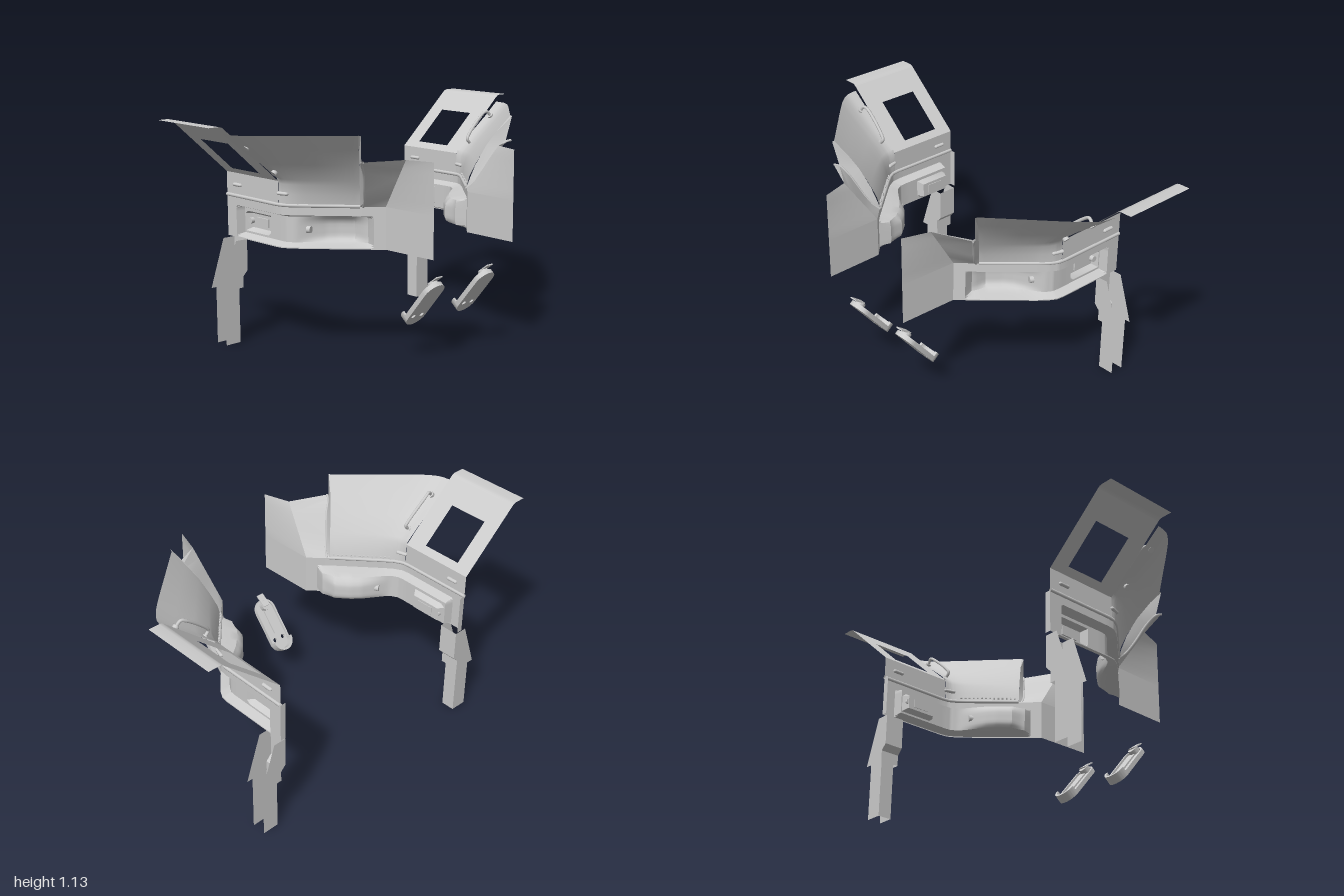
import * as THREE from 'three';
import { toCreasedNormals } from 'three/addons/utils/BufferGeometryUtils.js';

const grey = new THREE.MeshStandardMaterial({ color: 0xcccccc, side: THREE.DoubleSide });
const lerp = THREE.MathUtils.lerp;
const ramp = (v, a, b) => THREE.MathUtils.clamp((v - a) / (b - a), 0, 1);
const V = (p) => new THREE.Vector3(...p);

function add(parent, name, geo, pos = [0, 0, 0], rot = [0, 0, 0]) {
  const m = new THREE.Mesh(geo, grey);
  m.name = name;
  m.position.set(...pos);
  m.rotation.set(...rot);
  parent.add(m);
  return m;
}

// Surface through equal-length rows of [x, y, z] points
function skin(rows, crease = 0.6) {
  const n = rows[0].length, index = [];
  for (let j = 0; j < rows.length - 1; j++)
    for (let i = 0; i < n - 1; i++) {
      const a = j * n + i, b = a + n;
      index.push(a, a + 1, b + 1, a, b + 1, b);
    }
  const g = new THREE.BufferGeometry();
  g.setAttribute('position', new THREE.Float32BufferAttribute(rows.flat(2), 3));
  g.setIndex(index);
  return toCreasedNormals(g, crease);
}

// Piecewise linear lookup in [x, value] pairs
function look(table, x) {
  for (let i = 1; i < table.length; i++) {
    const [x0, a] = table[i - 1], [x1, b] = table[i];
    if (x <= x1) return lerp(a, b, ramp(x, x0, x1));
  }
  return table[table.length - 1][1];
}

// Plan line of the wall: straight, rounded corner, diagonal
const plan = [[-0.54, 0.61], [-0.17, 0.61], [-0.13, 0.605], [-0.09, 0.583], [-0.05, 0.55], [0.155, 0.365], [0.24, 0.28]];
const bulge = [[-0.075, 0], [-0.05, 0.012], [-0.01, 0.034], [0.03, 0.054], [0.07, 0.062], [0.13, 0.06], [0.17, 0.018], [0.2, 0]];
const planZ = (x) => look(plan, x);

// Inward depth of the pocket, its elbow bulge and the switch box
function depth(x, y) {
  const pocket = ramp(x, -0.47, -0.46) * ramp(x, 0.2, 0.18) * ramp(y, 0.535, 0.55) * ramp(y, 0.69, 0.675);
  const swell = look(bulge, x) * Math.sqrt(ramp(y, 0.535, 0.565) * ramp(y, 0.69, 0.64));
  const box = ramp(x, -0.455, -0.435) * ramp(x, -0.26, -0.28) * ramp(y, 0.56, 0.575) * ramp(y, 0.66, 0.645);
  return 0.045 * pocket + swell + 0.03 * box;
}

function wallPoint(x, y) {
  const slope = (planZ(x + 0.025) - planZ(x - 0.025)) / 0.05;
  const l = Math.hypot(1, slope), d = depth(x, y);
  return [x + (slope / l) * d, y, planZ(x) - d / l];
}

function buildWall(g) {
  const xs = [-0.54, -0.47, -0.46, -0.455, -0.435, -0.28, -0.26, -0.2, -0.17];
  for (let x = -0.15; x < 0.235; x += 0.01) xs.push(x);
  xs.push(0.24);
  const ys = [0.53, 0.535, 0.542, 0.55, 0.56, 0.575, 0.59, 0.61, 0.63, 0.645, 0.66, 0.675, 0.683, 0.69, 0.705, 0.735];
  add(g, 'lowerWall', skin(ys.map((y) => xs.map((x) => wallPoint(x, y)))));
  add(g, 'wallEndReturn', skin([0.61, 0.58].map((z) => [0.53, 0.735].map((y) => [-0.54, y, z]))));

  // Rib running along the seam
  const rib = new THREE.CurvePath();
  for (let i = 1; i < plan.length - 1; i++) rib.add(new THREE.LineCurve3(V([plan[i - 1][0], 0.737, plan[i - 1][1]]), V([plan[i][0], 0.737, plan[i][1]])));
  add(g, 'seamRib', new THREE.TubeGeometry(rib, 60, 0.009, 8));

  // Switch plate, knob and elbow button
  add(g, 'switchPlate', new THREE.BoxGeometry(0.09, 0.042, 0.012), [-0.355, 0.61, 0.538]);
  add(g, 'switchKnob', new THREE.CylinderGeometry(0.015, 0.015, 0.02, 16), [-0.432, 0.61, 0.548], [Math.PI / 2, 0, 0]);
  add(g, 'pocketButton', new THREE.CylinderGeometry(0.017, 0.017, 0.02, 16), [-0.072, 0.61, 0.485], [0, 0.4, Math.PI / 2]);
}

function buildFlare(g) {
  const x0 = -0.54, x1 = -0.145;
  // Straight window panel with its upright band and outer lip
  const strip = (prof) => skin(prof.map(([z, y]) => [[x0, y, z], [x1, y, z]]));
  add(g, 'panelBand', strip([[0.61, 0.735], [0.61, 0.85]]));
  add(g, 'panelLip', strip([[0.92, 1.125], [0.93, 1.132], [0.945, 1.135], [1, 1.135]]));
  const rect = (T, a, b, c, d) => new T([[a, c], [b, c], [b, d], [a, d]].map((p) => new THREE.Vector2(...p)));
  const panel = rect(THREE.Shape, x0, x1, 0, 0.4144);
  panel.holes.push(rect(THREE.Path, -0.455, -0.245, 0.042, 0.282));
  add(g, 'windowPanel', new THREE.ShapeGeometry(panel), [0, 0.85, 0.61], [Math.atan2(0.31, 0.275), 0, 0]);

  // Curved side flare
  const low = new THREE.CatmullRomCurve3([[x1, 0, 0.608], [-0.11, 0, 0.597], [-0.07, 0, 0.57], [-0.03, 0, 0.533], [0.06, 0, 0.452], [0.155, 0, 0.365]].map(V));
  const top = new THREE.CatmullRomCurve3([[x1, 0, 0.92], [-0.08, 0, 0.907], [-0.02, 0, 0.865], [0.05, 0, 0.795], [0.17, 0, 0.665], [0.308, 0, 0.515]].map(V));
  const N = 28;
  const row = (f, y, lean) => Array.from({ length: N + 1 }, (_, i) => {
    const t = i / N, p = low.getPoint(t).lerp(top.getPoint(t), f + lean * t);
    return [p.x, y, p.z];
  });
  add(g, 'sideFlare', skin([row(0, 0.735, 0), row(0, 0.79, 0.06), row(0, 0.84, 0.17), row(0.03, 0.865, 0.2),
    row(0.35, 0.947, 0.1), row(0.7, 1.025, 0.03), row(1, 1.1, 0)], 0.5));

  // Flange closing the flare's end, and the end wing beyond it
  const inner = row(0, 0, 0)[N], outer = row(1, 0, 0)[N];
  const edge = [[0, 0.735], [0.08, 0.785], [0.2, 0.85], [0.45, 0.95], [0.65, 1.01], [1, 1.1]]
    .map(([f, y]) => [lerp(inner[0], outer[0], f), y, lerp(inner[2], outer[2], f)]);
  const curve = [[0.165, 0.735, 0.355], [0.195, 0.765, 0.375], [0.225, 0.82, 0.405], [0.27, 0.92, 0.45], [0.3, 0.97, 0.49], [0.322, 1.1, 0.512]];
  add(g, 'flareFlange', skin([edge, curve]));
  const rim = [...curve.slice(0, 5), [0.325, 0.98, 0.505]];
  const fold = rim.map((_, i) => [lerp(0.24, 0.408, i / 5), lerp(0.735, 0.98, i / 5), lerp(0.28, 0.315, i / 5)]);
  add(g, 'wingSlope', skin([rim, fold]));
  add(g, 'wingPanel', skin([fold, fold.map((p) => [0.545, p[1], 0.273])]));
  add(g, 'wingLower', skin([[[0.24, 0.53, 0.28], [0.545, 0.53, 0.273]], [[0.24, 0.735, 0.28], [0.545, 0.735, 0.273]]]));
  add(g, 'flangeBead', new THREE.TubeGeometry(new THREE.CatmullRomCurve3(rim.map(V)), 24, 0.006, 6));

  // Rivet tabs along the seam
  for (let i = 0; i < 14; i++) {
    const x = lerp(-0.07, 0.14, i / 13);
    add(g, 'rivetTab', new THREE.BoxGeometry(0.009, 0.006, 0.008), [x, 0.757, planZ(x)], [0, 0.73, 0]);
  }
  // Slots in the band
  for (const [x, z, turn] of [[-0.455, 0.61, 0], [-0.122, 0.603, 0.3]]) {
    const s = add(g, 'slot', new THREE.CapsuleGeometry(0.009, 0.045, 6, 12), [x, 0.792, z], [0, turn, Math.PI / 2]);
    s.scale.z = 1.3;
  }
  // Grab handle with round mounts
  const pts = [[-0.1, 0.9, 0.668], [-0.1, 0.925, 0.645], [-0.103, 0.945, 0.655], [-0.11, 1.05, 0.775], [-0.105, 1.06, 0.8], [-0.1, 1.035, 0.825]];
  add(g, 'grabHandle', new THREE.TubeGeometry(new THREE.CatmullRomCurve3(pts.map(V)), 40, 0.008, 8));
  for (const p of [pts[0], pts[5]])
    add(g, 'handleMount', new THREE.CylinderGeometry(0.015, 0.015, 0.016, 16), p, [-0.85, 0, 0]);
}

// Channel leg open to the outside: web on the inner edge, two side flanges
function channel(g, name, xa, xb, innerEdge, outerEdge) {
  add(g, name + 'Web', skin(innerEdge.map(([z, y]) => [[xa, y, z], [xb, y, z]])));
  for (const x of [xa, xb])
    add(g, name + 'Flange', skin(innerEdge.map(([z, y], i) => [[x, y, z], [x, outerEdge[i][1], outerEdge[i][0]]])));
}

function buildLeg(g) {
  channel(g, 'upperLeg', -0.535, -0.435,
    [[0.577, 0.52], [0.577, 0.365], [0.605, 0.335], [0.605, 0.28]],
    [[0.645, 0.52], [0.697, 0.365], [0.707, 0.335], [0.725, 0.28]]);
  channel(g, 'lowerLeg', -0.522, -0.45, [[0.62, 0.3], [0.62, 0]], [[0.706, 0.3], [0.706, 0]]);
}

// Stadium outline of length L and half width r
function stadium(T, a, L, r) {
  const s = new T();
  s.absarc(a + r, 0, r, Math.PI / 2, Math.PI * 1.5, false);
  s.absarc(a + L - r, 0, r, -Math.PI / 2, Math.PI / 2, false);
  s.closePath();
  return s;
}

function buildPedal(g) {
  const p = new THREE.Group();
  p.name = 'pedal';
  p.position.set(0.303, 0.158, 0.175);
  p.rotation.z = Math.atan2(0.77, 0.64);
  g.add(p);
  const slab = (name, shape, h, y) => {
    const geo = new THREE.ExtrudeGeometry(shape, { depth: h, bevelEnabled: false, curveSegments: 14 });
    add(p, name, toCreasedNormals(geo.rotateX(-Math.PI / 2), 0.6), [0, y, 0]);
  };
  const plate = stadium(THREE.Shape, 0, 0.295, 0.057);
  for (const w of [-0.027, 0.027]) plate.holes.push(new THREE.Path().absarc(0.07, w, 0.012, 0, Math.PI * 2, true));
  slab('pedalPlate', plate, 0.014, 0);
  const ring = stadium(THREE.Shape, 0, 0.295, 0.059);
  ring.holes.push(stadium(THREE.Path, 0.01, 0.275, 0.049));
  slab('pedalRim', ring, 0.024, 0);
  // Heel cup: half-ring wall around the lower end
  const cup = new THREE.Shape();
  cup.absarc(0.059, 0, 0.059, Math.PI / 2, Math.PI * 1.5, false);
  cup.absarc(0.059, 0, 0.047, Math.PI * 1.5, Math.PI / 2, true);
  slab('heelCup', cup, 0.047, 0);
  // Toe block, centre rib and clip
  slab('toeBlock', stadium(THREE.Shape, 0.235, 0.055, 0.024), 0.04, 0);
  add(p, 'centreRib', new THREE.BoxGeometry(0.13, 0.01, 0.03), [0.17, 0.017, 0]);
  add(p, 'toeClip', new THREE.BoxGeometry(0.07, 0.006, 0.04), [0.29, 0.036, 0], [0, 0, -0.25]);
}

export function createModel() {
  const model = new THREE.Group();
  model.name = 'sideConsoles';
  for (const s of [1, -1]) {
    const half = new THREE.Group();
    half.name = s > 0 ? 'frontHalf' : 'backHalf';
    buildWall(half);
    buildFlare(half);
    buildLeg(half);
    buildPedal(half);
    half.scale.z = s;
    model.add(half);
  }
  return model;
}
